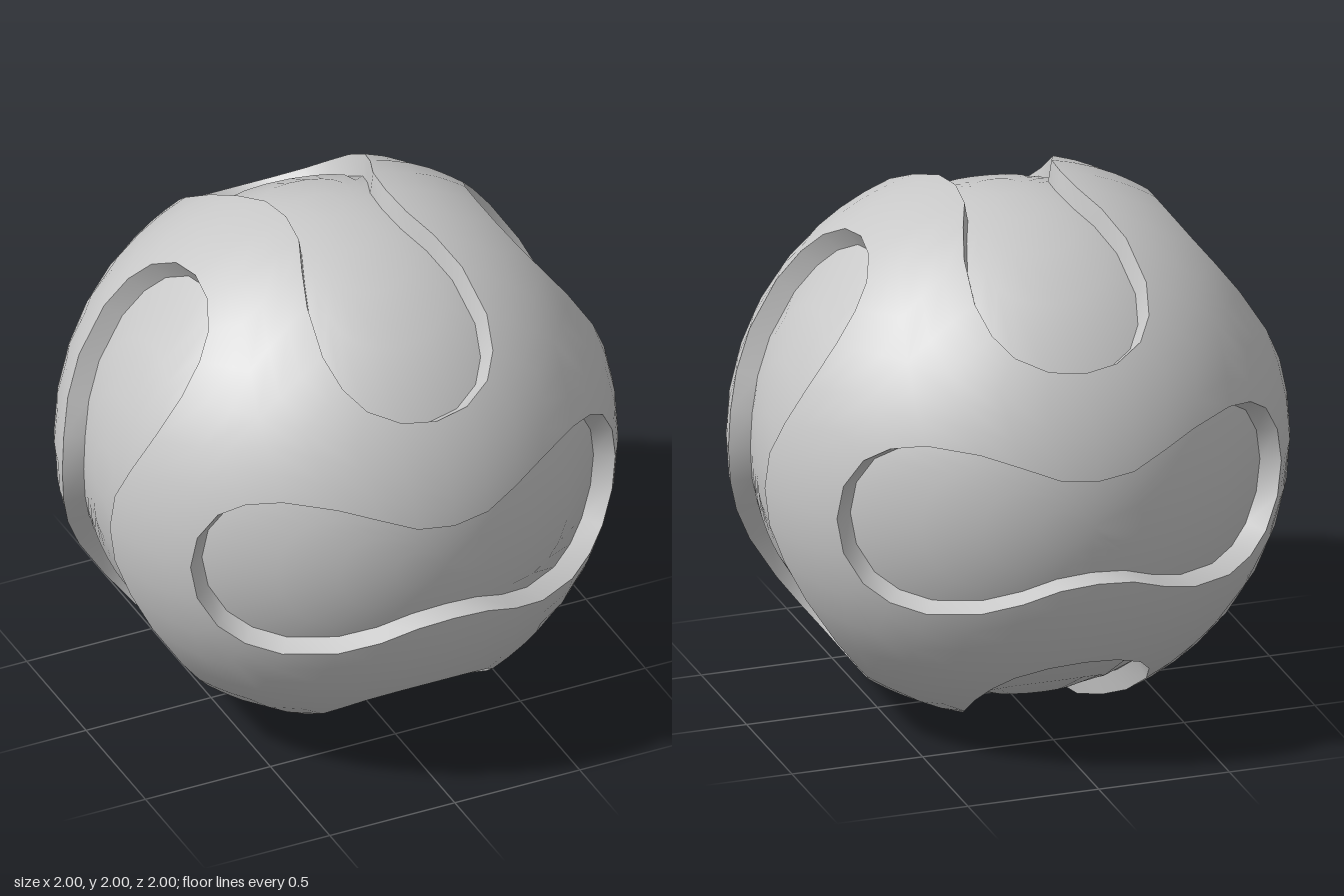
import * as THREE from 'three';

const OUTER = 1.02, FLOOR = 0.94;

// Quarter outline of the peanut-shaped recess on the outer sphere (x long, y short).
const QUARTER = [
  [0, 0.2], [0.14, 0.215], [0.27, 0.265], [0.41, 0.31], [0.58, 0.328],
  [0.69, 0.3], [0.77, 0.24], [0.83, 0.13], [0.85, 0],
];

// Mirror a quarter outline into a closed counter-clockwise loop.
function mirrorLoop(quarter) {
  const loop = [];
  [[1, 1], [-1, 1], [-1, -1], [1, -1]].forEach(([sx, sy], q) => {
    const part = q % 2 ? quarter : [...quarter].reverse();
    part.slice(0, -1).forEach(p => loop.push(new THREE.Vector3(p.x * sx, p.y * sy, p.z)));
  });
  return loop;
}

// Join rows of points, from the inside outwards; radial normals for spherical skins.
function loft(rows, radial) {
  const n = rows[0].length, pos = [], nor = [], index = [];
  rows.forEach(row => row.forEach(p => {
    pos.push(p.x, p.y, p.z);
    nor.push(...p.clone().normalize().toArray());
  }));
  for (let r = 0; r < rows.length - 1; r++) {
    for (let i = 0; i < n; i++) {
      const a = r * n + i, b = r * n + (i + 1) % n;
      index.push(a, a + n, b + n, a, b + n, b);
    }
  }
  const g = new THREE.BufferGeometry();
  g.setAttribute('position', new THREE.Float32BufferAttribute(pos, 3));
  g.setIndex(index);
  if (radial) g.setAttribute('normal', new THREE.Float32BufferAttribute(nor, 3));
  else g.computeVertexNormals();
  return g;
}

export function createModel() {
  const grey = new THREE.MeshStandardMaterial({ color: 0xc8c8c8 });
  grey.name = 'light grey';

  // Directions around the recess rim.
  const rim = mirrorLoop(QUARTER.map(([x, y]) =>
    new THREE.Vector3(x, y, Math.sqrt(OUTER * OUTER - x * x - y * y)).normalize()));

  // Outer border of one panel: gap midpoint, cube corner, gap midpoint.
  const angle = THREE.MathUtils.degToRad(22.4);
  const start = new THREE.Vector3(0, Math.sin(angle), Math.cos(angle));
  const corner = new THREE.Vector3(1, 1, 1).normalize();
  const end = new THREE.Vector3(Math.cos(angle), 0, Math.sin(angle));
  const border = mirrorLoop(QUARTER.map((_, i) => (i <= 4
    ? start.clone().lerp(corner, i / 4)
    : corner.clone().lerp(end, (i - 4) / 4)).normalize()));

  const at = (loop, radius) => loop.map(p => p.clone().multiplyScalar(radius));
  const shellRows = [0, 1 / 3, 2 / 3, 1].map(t =>
    rim.map((p, i) => p.clone().lerp(border[i], t).setLength(OUTER)));
  const floorRows = [0, 0.25, 0.5, 0.75, 1].map(s => rim.map(p => {
    const x = p.x * s, y = p.y * s;
    return new THREE.Vector3(x, y, Math.sqrt(1 - x * x - y * y)).multiplyScalar(FLOOR);
  }));

  const parts = {
    outerShell: loft(shellRows, true),
    recessWall: loft([at(rim, FLOOR), at(rim, OUTER)], false),
    recessFloor: loft(floorRows, true),
  };

  // Six panels: three axes turned about the cube diagonal, each with its opposite.
  const model = new THREE.Group();
  model.name = 'groovedBall';
  for (let axis = 0; axis < 3; axis++) {
    for (let side = 0; side < 2; side++) {
      const panel = new THREE.Group();
      panel.name = `panel${axis * 2 + side + 1}`;
      for (const [name, geometry] of Object.entries(parts)) {
        const mesh = new THREE.Mesh(geometry, grey);
        mesh.name = name;
        panel.add(mesh);
      }
      panel.quaternion.setFromAxisAngle(corner, axis * Math.PI * 2 / 3)
        .multiply(new THREE.Quaternion().setFromAxisAngle(new THREE.Vector3(0, 1, 0), side * Math.PI));
      panel.position.y = 1;
      model.add(panel);
    }
  }
  return model;
}
